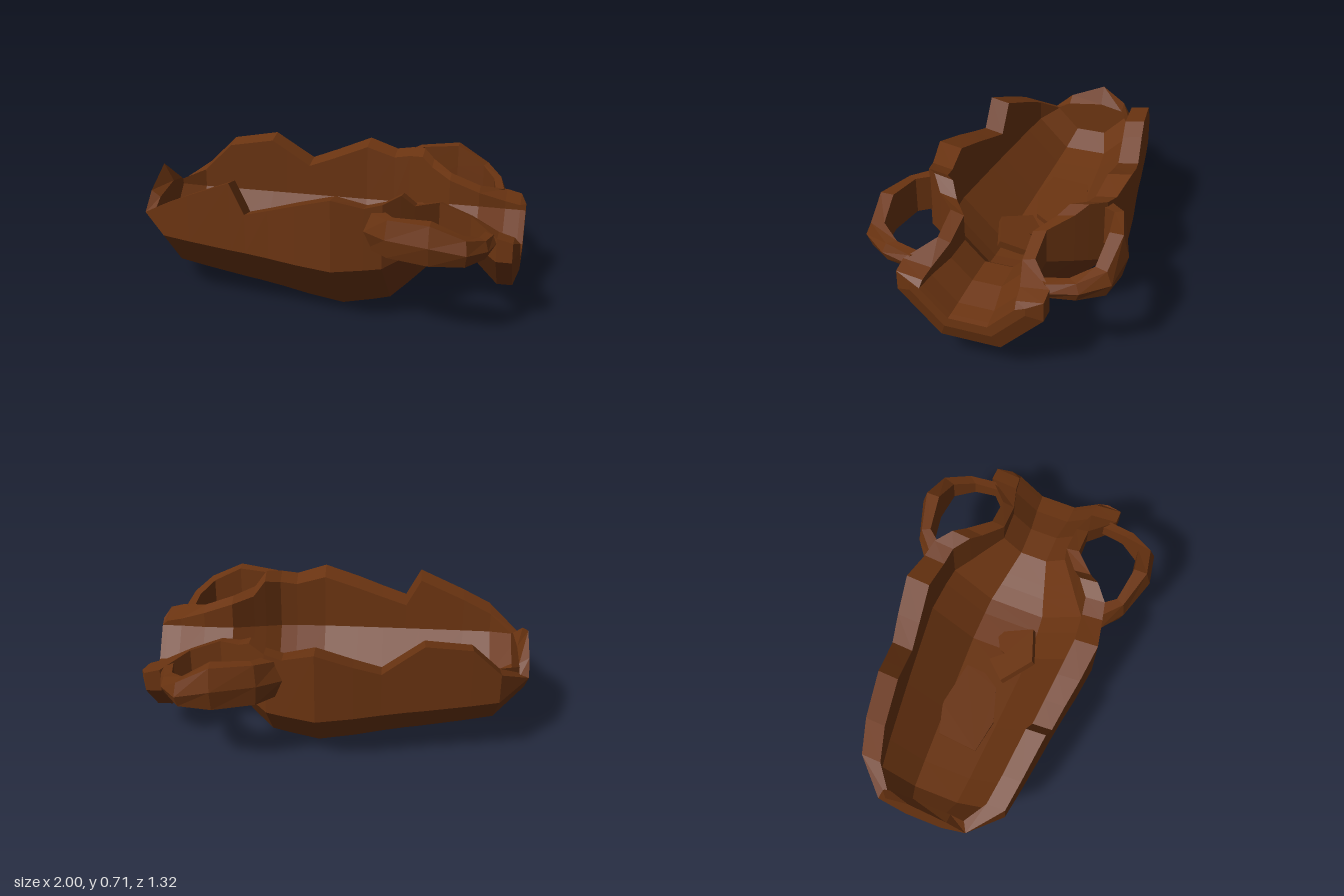
import * as THREE from 'three';

const AXIS = 0.53; // height of the vessel's lying axis
const K = Math.tan(Math.PI / 8); // octagon half side / apothem

const clay = new THREE.MeshStandardMaterial({ color: 0x6b3411, flatShading: true, side: THREE.DoubleSide });

// Skin closed cross-sections and close both ends
function loft(sections) {
  const n = sections[0].length, index = [];
  const quad = (a, b, c, d) => index.push(a, b, d, b, c, d);
  const last = (sections.length - 1) * n;
  for (let i = 0; i < sections.length - 1; i++) {
    for (let j = 0; j < n; j++) {
      const k = (j + 1) % n;
      quad(i * n + j, i * n + k, (i + 1) * n + k, (i + 1) * n + j);
    }
  }
  for (let j = 0; j < n / 2 - 1; j++) {
    quad(last + j, last + j + 1, last + n - 2 - j, last + n - 1 - j);
    quad(n - 1 - j, n - 2 - j, j + 1, j);
  }
  const geo = new THREE.BufferGeometry();
  geo.setAttribute('position', new THREE.Float32BufferAttribute(sections.flat(2), 3));
  geo.setIndex(index);
  const flat = geo.toNonIndexed();
  flat.computeVertexNormals();
  return flat;
}

function polygon(points) {
  return new THREE.Shape(points.map(([x, y]) => new THREE.Vector2(x, y)));
}

export function createModel() {
  const group = new THREE.Group();
  const add = (name, geo) => {
    const mesh = new THREE.Mesh(geo, clay);
    mesh.name = name;
    group.add(mesh);
    return mesh;
  };

  // Broken half shell: x, outer radius, inner radius, front rim, back rim
  const stations = [
    [-1, 0.24, 0.17, 0.43, 0.43],
    [-0.84, 0.39, 0.29, 0.54, 0.53],
    [-0.69, 0.415, 0.315, 0.61, 0.68],
    [-0.45, 0.45, 0.345, 0.71, 0.715],
    [-0.37, 0.46, 0.355, 0.55, 0.66],
    [-0.24, 0.48, 0.37, 0.59, 0.57],
    [-0.1, 0.505, 0.385, 0.635, 0.62],
    [0.09, 0.53, 0.405, 0.69, 0.695],
    [0.25, 0.5, 0.39, 0.65, 0.65],
    [0.34, 0.48, 0.375, 0.67, 0.67],
    [0.42, 0.41, 0.31, 0.7, 0.69],
    [0.48, 0.355, 0.265, 0.63, 0.65],
    [0.59, 0.25, 0.18, 0.62, 0.61],
    [0.75, 0.25, 0.185, 0.56, 0.55],
    [0.89, 0.37, 0.225, 0.5, 0.5],
    [0.97, 0.37, 0.235, 0.48, 0.48],
    [1, 0.29, 0.24, 0.45, 0.45],
  ];
  add('brokenVesselShell', loft(stations.map(([x, r, q, front, back]) => [
    [x, front, r], [x, AXIS - K * r, r], [x, AXIS - r, K * r],
    [x, AXIS - r, -K * r], [x, AXIS - K * r, -r], [x, back, -r],
    [x, back - 0.02, -q], [x, AXIS - K * q, -q], [x, AXIS - q, -K * q],
    [x, AXIS - q, K * q], [x, AXIS - K * q, q], [x, front - 0.02, q],
  ])));

  // Vessel base with a broken peak
  const base = new THREE.ExtrudeGeometry(polygon([
    [-0.1, 0.29], [0.1, 0.29], [0.24, 0.43], [0.19, 0.52], [0.06, 0.61], [-0.14, 0.52], [-0.24, 0.43],
  ]), { depth: 0.05, bevelEnabled: false });
  base.rotateY(Math.PI / 2);
  base.translate(-1, 0, 0);
  // slope the broken edge down toward the inside
  const bp = base.attributes.position;
  for (let i = 0; i < bp.count; i++) {
    if (bp.getX(i) > -0.97 && bp.getY(i) > 0.5) bp.setY(i, 0.48 + (bp.getY(i) - 0.5) * 0.3);
  }
  base.computeVertexNormals();
  add('vesselBase', base);

  // Two loop handles: outer x, outer z, inner x, inner z, top
  const loop = [
    [0.25, 0.5, 0.3, 0.4, 0.63],
    [0.37, 0.59, 0.4, 0.53, 0.63],
    [0.59, 0.66, 0.59, 0.56, 0.64],
    [0.77, 0.63, 0.74, 0.54, 0.57],
    [0.86, 0.5, 0.81, 0.44, 0.53],
    [0.89, 0.36, 0.83, 0.3, 0.51],
  ];
  for (const side of [1, -1]) {
    const sections = loop.map(([ox, oz, ix, iz, t]) => {
      const top = side < 0 && ox > 0.3 && ox < 0.7 ? t + 0.03 : t;
      const bottom = 0.435, mid = (top + bottom) / 2;
      const bx = ox + (ix - ox) * 0.3, bz = oz + (iz - oz) * 0.3;
      return [
        [bx, top, side * bz], [ox, mid, side * oz], [bx, bottom, side * bz],
        [ix, bottom, side * iz], [ix, mid, side * iz], [ix, top, side * iz],
      ];
    });
    if (side < 0) sections.reverse();
    add(side > 0 ? 'frontHandle' : 'backHandle', loft(sections));
  }

  // Loose shards lying inside, outlined in x and z
  const shard = (name, points, thickness) => {
    const geo = new THREE.ExtrudeGeometry(polygon(points.map(([x, z]) => [x, -z])),
      { depth: thickness, bevelEnabled: false });
    geo.rotateX(-Math.PI / 2);
    return add(name, geo);
  };
  const flatShard = shard('flatShard', [
    [-0.54, 0.1], [-0.35, 0.13], [-0.16, 0.07], [-0.1, -0.02], [-0.09, -0.13], [-0.35, -0.17], [-0.52, -0.12],
  ], 0.05);
  flatShard.position.y = 0.12;
  flatShard.rotation.z = -0.06;
  const leaningShard = shard('leaningShard', [
    [-0.11, 0.1], [0.04, 0.24], [0.23, 0.17], [0.18, 0], [0.14, -0.02], [0.07, 0.02], [0.05, 0.06], [0, -0.02],
  ], 0.04);
  leaningShard.position.y = 0.12;
  leaningShard.rotation.x = -0.4;

  return group;
}
